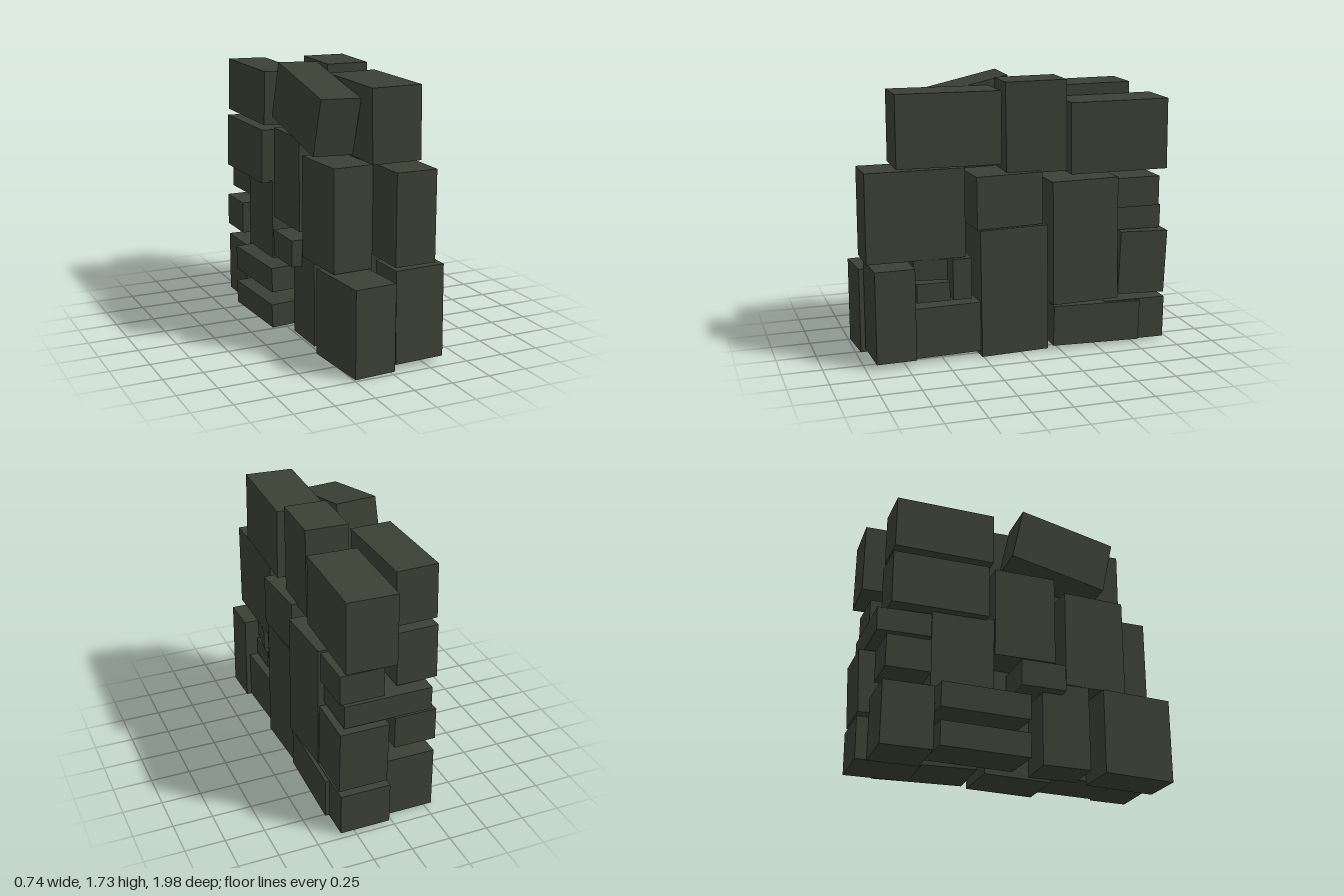
import * as THREE from 'three';

const stone = new THREE.MeshStandardMaterial({ color: 0x3b4034 });
stone.name = 'dark mossy stone';

// Each block: x range, y range, z range, then optional small tilts about x, y, z
const leftFace = [
  // top course
  [-0.02, 0.295, 1.22, 1.67, 0.12, 0.77, 0, -0.04, 0.015],
  [0.01, 0.28, 1.15, 1.72, -0.31, 0.08, 0.015, -0.04, 0],
  [-0.01, 0.305, 1.13, 1.58, -0.98, -0.34, 0.01, -0.04, 0],
  // middle course
  [0.02, 0.28, 0.65, 1.21, 0.35, 0.97],
  [0.02, 0.33, 0.83, 1.16, -0.13, 0.30, 0.01, 0.05, 0],
  [0.00, 0.355, 0.31, 1.10, -0.63, -0.19, 0.01, 0.03, 0.01],
  [0.05, 0.33, 0.90, 1.09, -0.92, -0.60],
  [-0.25, 0.31, 0.75, 0.90, -0.94, -0.58, -0.02, 0, 0],
  [0.04, 0.35, 0.33, 0.74, -0.97, -0.65, -0.04, 0, 0],
  // small infill stones
  [0.02, 0.28, 0.52, 0.65, 0.45, 0.66, 0, -0.15, 0],
  [0.02, 0.28, 0.38, 0.50, 0.45, 0.66],
  [0.01, 0.28, 0.38, 0.64, 0.31, 0.43],
  // bottom course
  [0.04, 0.36, 0.04, 0.62, 0.69, 0.94, 0, 0.02, 0.01],
  [0.00, 0.32, 0.04, 0.36, 0.26, 0.70, 0, 0.04, 0],
  [0.00, 0.33, 0.01, 0.82, -0.17, 0.27, 0.01, 0.03, 0.01],
  [0.02, 0.36, 0.03, 0.29, -0.79, -0.21, -0.02, -0.02, 0],
  [0.02, 0.34, 0.02, 0.29, -0.97, -0.56, -0.01, 0, 0],
];

const rightFace = [
  // top course, with one slumped stone
  [-0.295, -0.035, 1.305, 1.665, -0.064, 0.576, 0.218, 0, -0.04],
  [-0.30, -0.04, 1.305, 1.65, -0.86, -0.22, 0.01, 0, -0.02],
  // middle course
  [-0.31, -0.05, 0.915, 1.265, -0.87, -0.25, 0, 0, -0.02],
  [-0.25, 0.00, 0.70, 1.29, -0.19, 0.21],
  [-0.25, 0.01, 0.56, 1.20, 0.27, 0.68, 0, 0.05, 0],
  [-0.26, -0.04, 0.30, 0.93, -0.60, -0.20],
  [-0.31, -0.04, 0.49, 0.70, -0.89, -0.61],
  [-0.32, -0.03, 0.49, 0.66, -0.04, 0.25],
  // bottom course
  [-0.26, 0.01, 0.01, 0.555, 0.51, 0.98, 0, 0.07, 0],
  [-0.25, 0.00, 0.02, 0.57, 0.12, 0.43],
  [-0.30, 0.01, 0.01, 0.41, -0.90, -0.58],
  [-0.365, -0.06, 0.26, 0.42, -0.57, 0.00, 0, 0.04, 0.03],
  [-0.365, -0.06, 0.02, 0.175, -0.57, 0.00, 0, 0.04, 0.03],
];

function buildCourse(name, blocks) {
  const group = new THREE.Group();
  group.name = name;
  blocks.forEach(([x0, x1, y0, y1, z0, z1, rx = 0, ry = 0, rz = 0], i) => {
    const mesh = new THREE.Mesh(new THREE.BoxGeometry(x1 - x0, y1 - y0, z1 - z0), stone);
    mesh.position.set((x0 + x1) / 2, (y0 + y1) / 2, (z0 + z1) / 2);
    mesh.rotation.set(rx, ry, rz);
    mesh.name = `stoneBlock${i + 1}`;
    group.add(mesh);
  });
  return group;
}

export function createModel() {
  const wall = new THREE.Group();
  wall.name = 'stoneWall';
  wall.add(buildCourse('leftFaceStones', leftFace), buildCourse('rightFaceStones', rightFace));
  return wall;
}
